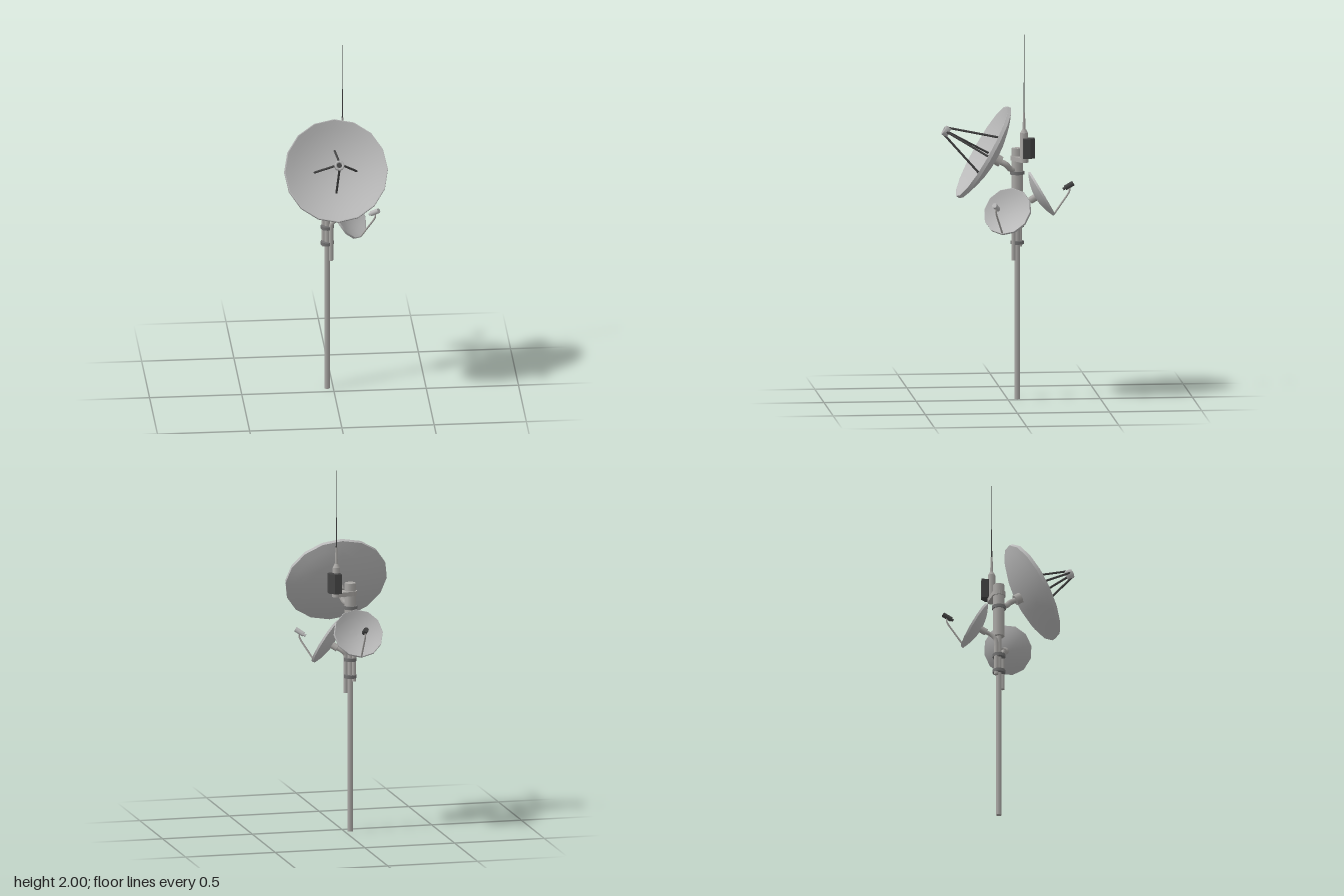
import * as THREE from 'three';

const mat = (name, color) => {
  const m = new THREE.MeshStandardMaterial({ color });
  m.name = name;
  return m;
};
const dishGrey = mat('dish grey', 0xbababa);
const poleGrey = mat('pole grey', 0xaaa8a5);
const clampGrey = mat('clamp grey', 0x737373);
const darkGrey = mat('dark grey', 0x454545);

const V = (x, y, z) => new THREE.Vector3(x, y, z);

function add(parent, name, geometry, material) {
  const m = new THREE.Mesh(geometry, material);
  m.name = name;
  parent.add(m);
  return m;
}

// Straight round bar from a to b, radius ra at a and rb at b
function rod(parent, name, a, b, ra, material, rb = ra, sides = 8) {
  const m = add(parent, name, new THREE.CylinderGeometry(rb, ra, a.distanceTo(b), sides), material);
  m.position.copy(a).lerp(b, 0.5);
  m.quaternion.setFromUnitVectors(V(0, 1, 0), b.clone().sub(a).normalize());
  return m;
}

function bentPipe(parent, name, points, r, material) {
  const curve = new THREE.CatmullRomCurve3(points, false, 'centripetal');
  return add(parent, name, new THREE.TubeGeometry(curve, 14, r, 8), material);
}

// Profile of [radius, z] turned round the z axis
function turned(parent, name, profile, sides, material) {
  const g = new THREE.LatheGeometry(profile.map(([r, z]) => new THREE.Vector2(r, z)), sides);
  g.rotateX(Math.PI / 2);
  return add(parent, name, g, material);
}

// Parabolic bowl facing +z, its front rim in the z = 0 plane
function bowl(parent, R, depth, thick, sides) {
  const steps = 7;
  const front = [], back = [];
  for (let i = 0; i <= steps; i++) {
    const t = i / steps;
    const z = -depth * (1 - t * t);
    front.unshift([R * t * 0.985, z]);
    back.push([(R + 0.002) * t, z - thick]);
  }
  turned(parent, 'bowlFront', front, sides, dishGrey);
  turned(parent, 'bowlBack', back, sides, dishGrey);
  turned(parent, 'bowlRim', [[R + 0.002, -thick], [R, 0]], sides, dishGrey);
  turned(parent, 'bowlLip', [[R, 0], [R * 0.985, 0]], sides, dishGrey);
}

function placeDish(root, name, position, yaw) {
  const g = new THREE.Group();
  g.name = name;
  g.position.copy(position);
  g.rotation.set(-Math.PI / 6, yaw, 0, 'YXZ');
  root.add(g);
  return g;
}

// Small dish with an offset feed on a bent arm
function smallDish(root, name, position, yaw, feedMaterial) {
  const g = placeDish(root, name, position, yaw);
  bowl(g, 0.135, 0.035, 0.012, 12);
  rod(g, 'backCollar', V(0, 0, -0.08), V(0, 0, -0.04), 0.02, poleGrey);
  bentPipe(g, 'feedArm', [V(0, -0.132, -0.008), V(0, -0.1, 0.06), V(0, -0.07, 0.122),
    V(0, -0.06, 0.134), V(0, -0.04, 0.142)], 0.005, poleGrey);
  rod(g, 'feedNeck', V(0, -0.038, 0.105), V(0, -0.038, 0.122), 0.008, feedMaterial);
  rod(g, 'feedBody', V(0, -0.038, 0.118), V(0, -0.038, 0.17), 0.014, feedMaterial);
  return g;
}

export function createModel() {
  const root = new THREE.Group();
  root.name = 'antennaMast';
  const px = -0.033, pz = -0.052;
  const onPole = (y) => V(px, y, pz);

  // Mast and its bands
  rod(root, 'pole', onPole(0), onPole(1.1), 0.015, poleGrey);
  rod(root, 'upperMast', onPole(1.065), onPole(1.37), 0.031, poleGrey);
  rod(root, 'mastBand', onPole(1.226), onPole(1.244), 0.039, clampGrey);
  for (const y of [0.855, 0.948]) {
    rod(root, 'pipeClamp', onPole(y - 0.009), onPole(y + 0.009), 0.036, clampGrey);
  }

  // Large dish with a ring feed held by four struts
  const big = placeDish(root, 'largeDish', V(0, 1.36, 0.143), 0);
  bowl(big, 0.28, 0.065, 0.02, 16);
  for (let i = 0; i < 4; i++) {
    const c = Math.cos(i * Math.PI / 2), s = Math.sin(i * Math.PI / 2);
    rod(big, 'feedStrut', V(0.115 * c, 0.115 * s, -0.058), V(0.022 * c, 0.022 * s, 0.222), 0.006, darkGrey);
  }
  turned(big, 'feedRing', [[0.001, 0.208], [0.028, 0.208], [0.028, 0.236], [0.024, 0.24],
    [0.015, 0.24], [0.015, 0.222]], 8, dishGrey);
  turned(big, 'feedHole', [[0.015, 0.222], [0, 0.222]], 8, darkGrey);
  rod(big, 'backCollar', V(0, 0, -0.118), V(0, 0, -0.075), 0.03, poleGrey);
  bentPipe(root, 'largeDishArm', [V(0, 1.305, 0.05), V(0, 1.285, 0.012), V(-0.01, 1.26, -0.012),
    V(px, 1.25, pz)], 0.016, poleGrey);

  // Side dish and its pipe
  smallDish(root, 'sideDish', V(0.09, 1.045, 0.015), Math.PI / 3, dishGrey);
  rod(root, 'sideDishPipe', V(-0.013, 0.76, -0.03), V(-0.013, 0.95, -0.03), 0.012, poleGrey);
  bentPipe(root, 'sideDishArm', [V(-0.013, 0.945, -0.03), V(-0.01, 0.972, -0.029),
    V(0.005, 0.99, -0.027), V(0.045, 1.015, -0.011)], 0.012, poleGrey);

  // Rear dish and its pipe
  smallDish(root, 'rearDish', V(-0.044, 1.12, -0.192), Math.PI, darkGrey);
  rod(root, 'rearDishPipe', V(-0.05, 0.83, -0.068), V(-0.05, 1.01, -0.068), 0.012, poleGrey);
  bentPipe(root, 'rearDishArm', [V(-0.05, 1.0, -0.068), V(-0.049, 1.04, -0.073),
    V(-0.046, 1.065, -0.095), V(-0.044, 1.085, -0.13)], 0.012, poleGrey);

  // Tapered bracket from the mast to the whip antenna
  const ax = 0.052, az = -0.081;
  const at = (y) => V(ax, y, az);
  const dir = Math.atan2(-(az - pz), ax - px);
  const outline = new THREE.Shape();
  outline.absarc(px, -pz, 0.037, dir + Math.PI / 2, dir + Math.PI * 1.5, false);
  outline.absarc(ax, -az, 0.023, dir - Math.PI / 2, dir + Math.PI / 2, false);
  const plate = new THREE.ExtrudeGeometry(outline, { depth: 0.024, bevelEnabled: false, curveSegments: 5 });
  plate.rotateX(-Math.PI / 2).translate(0, 1.303, 0);
  add(root, 'antennaBracket', plate, poleGrey);

  // Whip antenna
  rod(root, 'antennaBase', at(1.32), at(1.465), 0.021, poleGrey);
  rod(root, 'antennaShoulder', at(1.465), at(1.485), 0.021, poleGrey, 0.01);
  rod(root, 'antennaStem', at(1.48), at(1.575), 0.009, poleGrey, 0.005);
  rod(root, 'antennaRod', at(1.57), at(1.74), 0.0035, darkGrey, 0.0028, 6);
  rod(root, 'antennaTip', at(1.735), at(2), 0.0016, darkGrey, 0.0012, 6);

  // Equipment box behind the antenna base
  const box = new THREE.Shape([[0.035, 0.137], [0.035, 0.1], [0.066, 0.073], [0.1, 0.073],
    [0.1, 0.11], [0.073, 0.137]].map(([x, y]) => new THREE.Vector2(x, y)));
  const boxGeo = new THREE.ExtrudeGeometry(box, { depth: 0.108, bevelEnabled: false });
  boxGeo.rotateX(-Math.PI / 2).translate(0, 1.328, 0);
  add(root, 'equipmentBox', boxGeo, darkGrey);

  return root;
}
